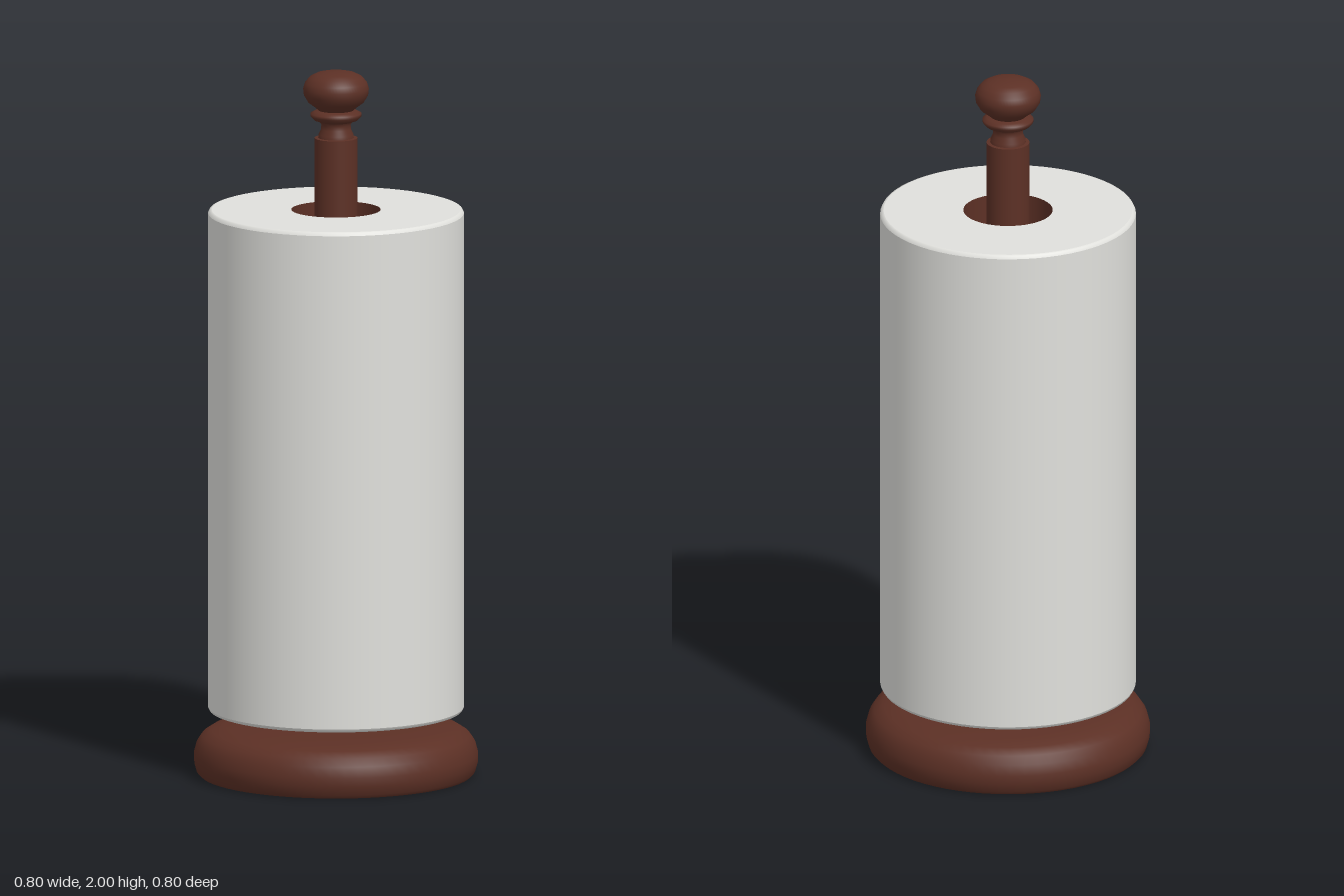
import * as THREE from 'three';

const wood = new THREE.MeshStandardMaterial({ color: 0x5c3025 });
wood.name = 'dark wood';
const paper = new THREE.MeshStandardMaterial({ color: 0xe0e0dc });
paper.name = 'white paper';

// Turned part from [radius, height] pairs; a repeated pair makes a sharp edge.
function turned(name, profile, material) {
  const points = profile.map(([r, y]) => new THREE.Vector2(r, y));
  const mesh = new THREE.Mesh(new THREE.LatheGeometry(points, 64), material);
  mesh.name = name;
  return mesh;
}

export function createModel() {
  const group = new THREE.Group();
  group.name = 'paperTowelHolder';

  // Heavy rounded foot with a raised collar around the pole
  group.add(turned('base', [
    [0, 0], [0.38, 0], [0.38, 0], [0.39, 0.01], [0.397, 0.035], [0.398, 0.06],
    [0.39, 0.09], [0.375, 0.112], [0.35, 0.128], [0.31, 0.138], [0.24, 0.144],
    [0.12, 0.148], [0.12, 0.148], [0.095, 0.153], [0.08, 0.163], [0.072, 0.178],
    [0.065, 0.185], [0.055, 0.187],
  ], wood));

  // Straight pole
  group.add(turned('pole', [
    [0.06, 0.17], [0.06, 1.81], [0.06, 1.81], [0.04, 1.812],
  ], wood));

  // Turned finial: neck, ring and flattened knob
  group.add(turned('finial', [
    [0.05, 1.808], [0.049, 1.82], [0.042, 1.835], [0.041, 1.848], [0.046, 1.856],
    [0.046, 1.856], [0.062, 1.862], [0.071, 1.872], [0.071, 1.88], [0.06, 1.886],
    [0.049, 1.889], [0.049, 1.889], [0.058, 1.897], [0.078, 1.912], [0.09, 1.932],
    [0.092, 1.95], [0.087, 1.967], [0.074, 1.983], [0.055, 1.993], [0.028, 1.999],
    [0, 2],
  ], wood));

  // Paper roll with softly rounded rims
  group.add(turned('paperRoll', [
    [0.125, 0.182], [0.348, 0.182], [0.348, 0.182], [0.354, 0.184], [0.358, 0.192],
    [0.358, 0.192], [0.358, 1.596], [0.358, 1.596], [0.354, 1.604], [0.348, 1.606],
    [0.348, 1.606], [0.125, 1.606],
  ], paper));

  // Inner tube of the roll, facing the pole
  group.add(turned('rollCore', [[0.125, 1.606], [0.125, 0.182]], wood));

  return group;
}
